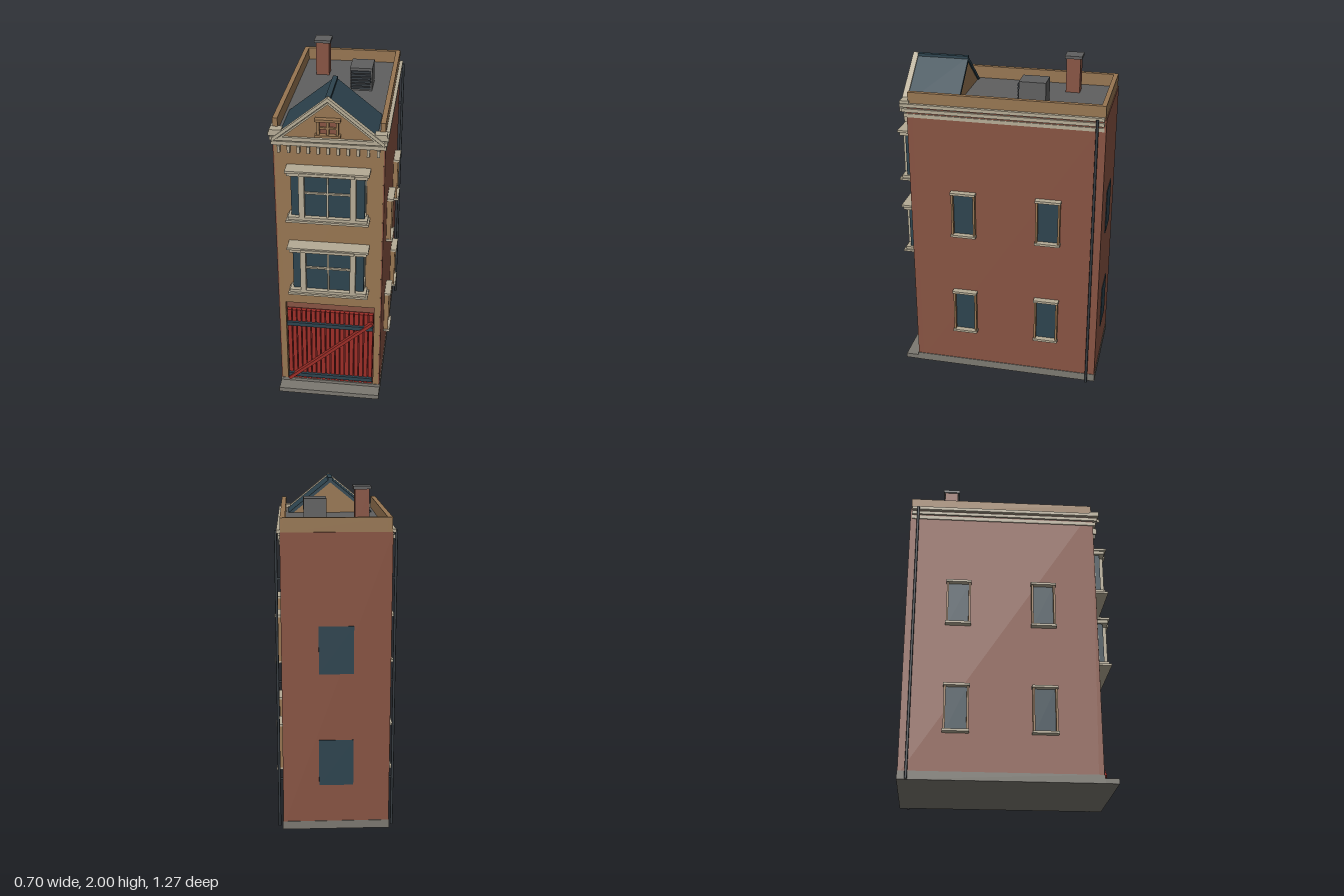
import * as THREE from 'three';

const mat = (name, color, side = THREE.FrontSide) => {
  const m = new THREE.MeshStandardMaterial({ color, side });
  m.name = name;
  return m;
};

export function createModel() {
  const tan = mat('tan stone', 0x967551);
  const brick = mat('red brick', 0x875342);
  const trim = mat('pale trim', 0xb5ab95);
  const glass = mat('blue slate and glass', 0x2d434e);
  const red = mat('door red', 0x9c2d27);
  const darkRed = mat('door groove', 0x5e1c1a);
  const stone = mat('plinth grey', 0x7b7870);
  const roofGrey = mat('roof grey', 0x5f5f5f);
  const iron = mat('dark iron', 0x353b40);

  const house = new THREE.Group();
  house.name = 'townHouse';

  const add = (name, geo, material, parent = house) => {
    const m = new THREE.Mesh(geo, material);
    m.name = name;
    parent.add(m);
    return m;
  };
  // Box given by its low and high limits on each axis
  const box = (name, material, x0, x1, y0, y1, z0, z1, parent) => {
    const m = add(name, new THREE.BoxGeometry(x1 - x0, y1 - y0, z1 - z0), material, parent);
    m.position.set((x0 + x1) / 2, (y0 + y1) / 2, (z0 + z1) / 2);
    return m;
  };
  // The same box on both sides of the house
  const pair = (name, material, x0, x1, ...rest) => {
    box(name + 'Left', material, x0, x1, ...rest);
    box(name + 'Right', material, -x1, -x0, ...rest);
  };
  const polygon = (pts) => new THREE.Shape(pts.map(([x, y]) => new THREE.Vector2(x, y)));
  const extrude = (name, material, shape, z0, z1) => {
    const geo = new THREE.ExtrudeGeometry(shape, { depth: z1 - z0, bevelEnabled: false });
    geo.translate(0, 0, z0);
    return add(name, geo, material);
  };

  // Plinth and front step
  box('plinth', stone, -0.316, 0.316, 0, 0.05, -0.635, 0.537);
  box('frontStep', stone, -0.314, 0.314, 0, 0.03, 0.53, 0.617);

  // Brick body, side returns and the stone facade with its door opening
  box('brickBody', brick, -0.312, 0.312, 0.02, 1.77, -0.632, 0.5);
  pair('brickReturn', brick, 0.304, 0.312, 0.02, 1.77, 0.5, 0.533);
  const facade = polygon([[-0.304, 0.04], [-0.27, 0.04], [-0.27, 0.64], [0.27, 0.64],
    [0.27, 0.04], [0.304, 0.04], [0.304, 1.77], [-0.304, 1.77]]);
  extrude('facade', tan, facade, 0.499, 0.535);

  // Flat roof and parapet
  box('flatRoof', roofGrey, -0.29, 0.29, 1.76, 1.775, -0.61, 0.53);
  pair('parapetSide', tan, 0.282, 0.31, 1.765, 1.85, -0.627, 0.525);
  box('parapetBack', tan, -0.282, 0.282, 1.765, 1.85, -0.627, -0.6);

  // Stepped cornice along the sides, returning over the front
  [[1.7, 1.722, 0.318, 0.55], [1.732, 1.753, 0.324, 0.56], [1.764, 1.784, 0.33, 0.57]]
    .forEach(([y0, y1, x, z], i) => {
      pair('sideCornice' + i, trim, 0.305, x, y0, y1, -0.622, 0.53);
      if (i < 2) box('frontCornice' + i, trim, -x, x, y0, y1, 0.53, z);
      else pair('corniceReturn', trim, 0.27, x, y0, y1, 0.515, z);
    });
  pair('corniceCap', trim, 0.255, 0.322, 1.784, 1.8, 0.515, 0.572);
  for (let i = 0; i < 11; i++) {
    const x = -0.275 + i * 0.055;
    box('dentil' + i, trim, x - 0.008, x + 0.008, 1.66, 1.7, 0.53, 0.56);
  }

  // Front gable: stone filling, slate slopes and raking trim
  const slope = 0.806;
  const chevron = (apex, half, t) => polygon([[0, apex], [-half, apex - slope * half],
    [-half, apex - slope * half - t], [0, apex - t], [half, apex - slope * half - t],
    [half, apex - slope * half]]);
  extrude('gable', tan, polygon([[-0.265, 1.755], [0.265, 1.755], [0, 1.968]]), 0.245, 0.548);
  extrude('gableRoof', glass, chevron(1.99, 0.281, 0.025), 0.237, 0.553);
  extrude('rakeTrim', trim, chevron(2.0, 0.31, 0.022), 0.545, 0.577);
  extrude('innerRakeTrim', trim, chevron(1.97, 0.28, 0.012), 0.545, 0.565);
  box('ridgeCap', glass, -0.014, 0.014, 1.978, 1.995, 0.237, 0.545);

  // Small shuttered vent in the gable
  const vent = new THREE.Group();
  vent.name = 'gableVent';
  house.add(vent);
  box('ventPanel', brick, -0.045, 0.045, 1.775, 1.865, 0.545, 0.553, vent);
  for (const y of [1.77, 1.862]) box('ventRail', tan, -0.07, 0.07, y, y + 0.014, 0.545, 0.582, vent);
  for (const x of [-0.052, 0, 0.052]) box('ventPost', tan, x - 0.007, x + 0.007, 1.784, 1.862, 0.545, 0.572, vent);
  box('ventBar', tan, -0.05, 0.05, 1.815, 1.825, 0.545, 0.566, vent);

  // Two projecting front windows
  for (const y of [0.76, 1.255]) {
    const bay = new THREE.Group();
    bay.name = 'bayWindow';
    house.add(bay);
    const top = y + 0.325;
    box('bayGlass', glass, -0.208, 0.208, y + 0.02, top - 0.02, 0.53, 0.585, bay);
    box('baySill', trim, -0.225, 0.225, y + 0.008, y + 0.03, 0.53, 0.612, bay);
    box('baySillLip', trim, -0.235, 0.235, y, y + 0.013, 0.53, 0.625, bay);
    box('bayHead', trim, -0.225, 0.225, top - 0.035, top - 0.01, 0.53, 0.615, bay);
    box('bayHeadCap', trim, -0.235, 0.235, top - 0.014, top, 0.53, 0.625, bay);
    box('bayHeadCentre', trim, -0.155, 0.155, top - 0.025, top - 0.008, 0.6, 0.63, bay);
    for (const s of [-1, 1]) {
      box('bayPost', trim, s * 0.145 - 0.016, s * 0.145 + 0.016, y + 0.03, top - 0.03, 0.58, 0.614, bay);
      box('bayWallPost', trim, s * 0.208 - 0.006, s * 0.208 + 0.006, y + 0.03, top - 0.03, 0.53, 0.553, bay);
    }
    box('verticalBar', trim, -0.005, 0.005, y + 0.03, top - 0.03, 0.58, 0.597, bay);
    box('crossBar', trim, -0.13, 0.13, y + 0.174, y + 0.184, 0.58, 0.597, bay);
  }

  // Plank door with iron straps and a diagonal brace
  const door = new THREE.Group();
  door.name = 'door';
  house.add(door);
  box('doorBacking', darkRed, -0.266, 0.266, 0.05, 0.578, 0.5, 0.517, door);
  const planks = 18, pitch = 0.53 / planks;
  for (let i = 0; i < planks; i++) {
    const x = -0.265 + i * pitch;
    box('plank' + i, red, x + 0.003, x + pitch - 0.003, 0.05, 0.58, 0.51, 0.53, door);
  }
  for (const y of [0.073, 0.47]) box('strap', glass, -0.265, 0.265, y, y + 0.026, 0.52, 0.545, door);
  const brace = add('brace', new THREE.BoxGeometry(0.7, 0.02, 0.03), red, door);
  brace.position.set(0, 0.293, 0.54);
  brace.rotation.z = Math.atan2(0.472, 0.52);

  // Side windows with sills and heads, and plain back windows
  for (const y of [0.28, 0.96]) {
    for (const z of [0.202, -0.315]) {
      pair('sideGlass', glass, 0.31, 0.317, y, y + 0.29, z - 0.065, z + 0.065);
      for (const s of [-1, 1]) {
        const c = z + s * 0.067;
        pair('sideJamb', tan, 0.31, 0.34, y + 0.01, y + 0.28, c - 0.006, c + 0.006);
      }
      for (const e of [y - 0.002, y + 0.278])
        pair('sideLedge', trim, 0.31, 0.351, e, e + 0.014, z - 0.077, z + 0.077);
    }
    box('backGlass', glass, -0.1, 0.1, y, y + 0.28, -0.636, -0.63);
  }

  // Downpipes near the back corners
  for (const s of [-1, 1]) {
    const pipe = add('downpipe', new THREE.CylinderGeometry(0.008, 0.008, 1.775, 8), iron);
    pipe.position.set(s * 0.335, 0.8875, -0.583);
    for (const y of [0.3, 0.9, 1.5])
      box('pipeBracket', iron, s * 0.322 - 0.013, s * 0.322 + 0.013, y, y + 0.012, -0.588, -0.578);
  }

  // Chimney and rooftop unit
  box('chimney', brick, -0.196, -0.114, 1.77, 1.985, -0.417, -0.333);
  box('chimneyCap', roofGrey, -0.206, -0.104, 1.983, 2.0, -0.427, -0.323);
  box('roofUnit', roofGrey, 0.042, 0.176, 1.77, 1.915, -0.262, -0.104);
  for (let i = 0; i < 6; i++)
    box('unitLouvre' + i, iron, 0.05, 0.168, 1.785 + i * 0.02, 1.799 + i * 0.02, -0.106, -0.096);

  return house;
}
